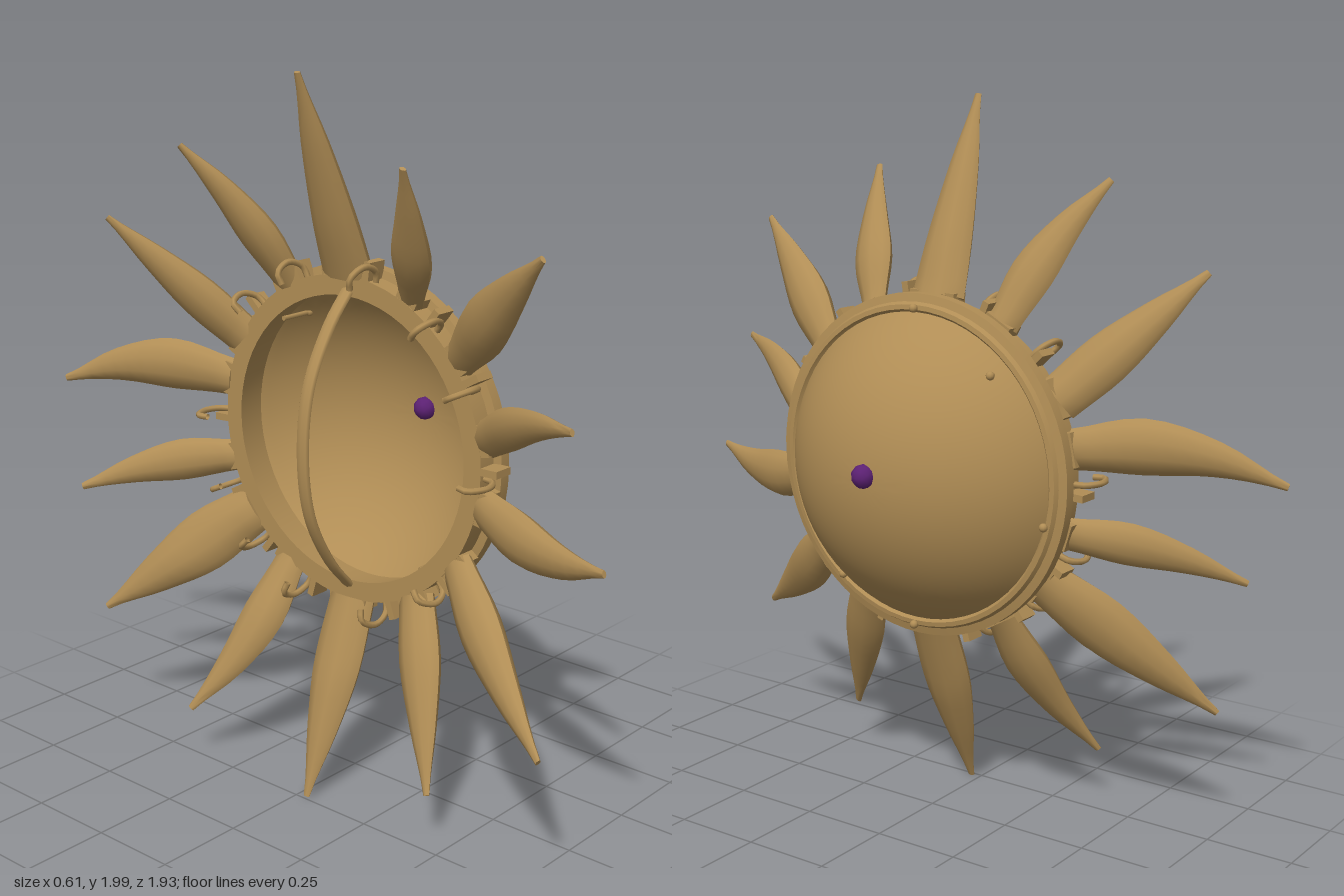
import * as THREE from 'three';
import { toCreasedNormals } from 'three/addons/utils/BufferGeometryUtils.js';

const CY = 1.0, CZ = 0.023; // disc centre; the disc faces +x
const rad = THREE.MathUtils.degToRad;

// Point at radius r and angle a (from +z towards +y) around the disc, at depth x
const polar = (r, a, x) => new THREE.Vector3(x, CY + r * Math.sin(a), CZ + r * Math.cos(a));

// Each ray: root angle, tip x, tip y, tip z, root width, belly width, sideways sway
const RAYS = [
  [92, -0.24, 1.995, 0.02, 0.17, 0.14, 0],
  [119, -0.25, 1.78, -0.4, 0.1, 0.13, -0.02],
  [151, -0.26, 1.555, -0.69, 0.13, 0.14, 0],
  [168, -0.21, 1.035, -0.96, 0.11, 0.15, -0.04],
  [197, -0.28, 0.74, -0.825, 0.09, 0.12, -0.018],
  [217, -0.26, 0.37, -0.76, 0.14, 0.18, 0],
  [240, -0.29, 0.165, -0.376, 0.1, 0.14, 0.026],
  [270, -0.24, 0.005, 0.03, 0.15, 0.16, 0],
  [300, -0.23, 0.15, 0.45, 0.12, 0.14, 0],
  [323, -0.28, 0.395, 0.835, 0.11, 0.15, -0.01],
  [348, -0.22, 0.9, 0.963, 0.11, 0.14, -0.03],
  [11, -0.28, 1.245, 0.9, 0.1, 0.11, 0.022],
  [38, -0.23, 1.62, 0.77, 0.1, 0.15, 0.005],
  [64, -0.25, 1.79, 0.37, 0.08, 0.13, -0.01],
];

// Flame-shaped blade: ridged oval sections swept along a swaying curve
function rayGeometry(root, tip, rootWidth, bellyWidth, sway) {
  const STEPS = 12, SIDES = 10;
  const across = new THREE.Vector3(0, tip.z - root.z, root.y - tip.y).normalize().multiplyScalar(sway);
  const path = new THREE.CatmullRomCurve3([0, 1 / 3, 2 / 3, 1].map((t, i) => {
    const p = root.clone().lerp(tip, t);
    return i === 1 || i === 2 ? p.add(across) : p;
  }));
  const widths = new THREE.SplineCurve([rootWidth, bellyWidth, bellyWidth * 0.64, 0.02]
    .map((w, i) => new THREE.Vector2(i, w)));
  const pos = [], index = [];
  const axis = new THREE.Vector3(1, 0, 0);
  for (let i = 0; i <= STEPS; i++) {
    const t = i / STEPS, c = path.getPoint(t), tangent = path.getTangent(t);
    const side = tangent.clone().cross(axis).normalize();
    const up = side.clone().cross(tangent);
    const w = widths.getPoint(t).y / 2, h = Math.min(w * 0.6, 0.045);
    for (let j = 0; j < SIDES; j++) {
      const a = j / SIDES * Math.PI * 2, s = Math.sin(a);
      const p = c.clone().addScaledVector(side, w * Math.cos(a))
        .addScaledVector(up, h * s * (0.75 + 0.25 * Math.abs(s)));
      pos.push(p.x, p.y, p.z);
    }
  }
  for (let i = 0; i < STEPS; i++) for (let j = 0; j < SIDES; j++) {
    const a = i * SIDES + j, b = i * SIDES + (j + 1) % SIDES;
    index.push(a, a + SIDES, b, b, a + SIDES, b + SIDES);
  }
  const last = STEPS * SIDES;
  for (let j = 1; j < SIDES - 1; j++) {
    index.push(0, j, j + 1, last, last + j + 1, last + j);
  }
  const g = new THREE.BufferGeometry();
  g.setAttribute('position', new THREE.Float32BufferAttribute(pos, 3));
  g.setIndex(index);
  return toCreasedNormals(g, 0.7);
}

export function createModel() {
  const model = new THREE.Group();
  model.name = 'sunDisc';
  const bronze = new THREE.MeshStandardMaterial({ color: 0xb08d55, side: THREE.DoubleSide });
  bronze.name = 'bronze';
  const purple = new THREE.MeshStandardMaterial({ color: 0x5c2173 });
  purple.name = 'purple gem';

  const add = (geometry, name, material = bronze, parent = model) => {
    const mesh = new THREE.Mesh(geometry, material);
    mesh.name = name;
    parent.add(mesh);
    return mesh;
  };
  const group = (name) => {
    const g = new THREE.Group();
    g.name = name;
    model.add(g);
    return g;
  };
  // Lathe around the disc axis from [radius, x] points
  const turned = (points, name) => {
    const g = new THREE.LatheGeometry(points.map(([r, x]) => new THREE.Vector2(r, x)), 64);
    g.rotateZ(-Math.PI / 2);
    add(toCreasedNormals(g, 0.6), name).position.set(0, CY, CZ);
  };

  // Hollow dome: a shallow spherical cap
  const R = 0.505, capAngle = Math.asin(0.43 / R), cap = [];
  for (let i = 0; i <= 16; i++) {
    const a = capAngle * (1 - i / 16);
    cap.push([Math.max(R * Math.sin(a), 0.0001), 0.28 - R + R * Math.cos(a)]);
  }
  turned(cap, 'dome');

  // Rim flange with bead, and narrower band behind it
  turned([[0.4, -0.06], [0.455, -0.06], [0.455, -0.005], [0.477, 0], [0.477, 0.032],
    [0.455, 0.038], [0.448, 0.05], [0.435, 0.052], [0.425, 0.04], [0.41, 0.03], [0.4, -0.06]], 'rim');

  // Gem at the crown
  add(new THREE.IcosahedronGeometry(0.034, 1), 'gem', purple).position.set(0.277, 1.02, CZ);

  // Rays with a root block each
  const rays = group('rays');
  for (const [deg, tipX, tipY, tipZ, rootWidth, bellyWidth, sway] of RAYS) {
    const a = rad(deg), tip = new THREE.Vector3(tipX, tipY, tipZ);
    add(rayGeometry(polar(0.46, a, -0.035), tip, rootWidth, bellyWidth, sway), 'ray', bronze, rays);
    const block = add(new THREE.BoxGeometry(0.055, rootWidth * 0.85, 0.06), 'rayRoot', bronze, rays);
    block.position.copy(polar(0.45, a, -0.032));
    block.rotation.x = -a;
  }

  // Curved hooks and small lugs between the rays
  const hooks = group('hooks');
  for (const deg of [-2, 27, 50, 79, 110, 134, 180, 206, 228, 251, 286, 313]) {
    const a = rad(deg);
    const curve = new THREE.CatmullRomCurve3([[0.44, -0.04], [0.485, -0.05], [0.505, -0.1],
      [0.48, -0.15], [0.45, -0.145]].map(([r, x]) => polar(r, a, x)));
    add(new THREE.TubeGeometry(curve, 14, 0.009, 6), 'hook', bronze, hooks);
    const lug = add(new THREE.BoxGeometry(0.06, 0.02, 0.06), 'lug', bronze, hooks);
    lug.position.copy(polar(0.475, a + 0.05, -0.03));
    lug.rotation.x = -a - 0.05;
  }

  // Pins through the dome edge
  const pins = group('pins');
  for (const [y, z] of [[1.44, 0.02], [0.555, 0.02], [1.29, -0.25], [0.67, 0.245], [0.9, -0.4]]) {
    const r = Math.hypot(y - CY, z - CZ);
    const x = Math.max(0.06, 0.285 - R + Math.sqrt(R * R - r * r));
    const shaft = add(new THREE.CylinderGeometry(0.007, 0.007, 0.11, 8), 'pin', bronze, pins);
    shaft.rotation.z = Math.PI / 2;
    shaft.position.set(x - 0.05, y, z);
    add(new THREE.SphereGeometry(0.012, 10, 8), 'pinHead', bronze, pins).position.set(x, y, z);
  }

  // Bowed carrying strap across the open back
  const strapPath = new THREE.CatmullRomCurve3([[1.42, -0.05], [1.33, -0.13], [1.18, -0.21], [1, -0.235],
    [0.82, -0.21], [0.67, -0.13], [0.58, -0.05]].map(([y, x]) => new THREE.Vector3(x, y, 0)));
  const strap = new THREE.TubeGeometry(strapPath, 32, 0.01, 8);
  strap.scale(1, 1, 2.2);
  add(strap, 'strap').position.z = CZ;

  return model;
}
